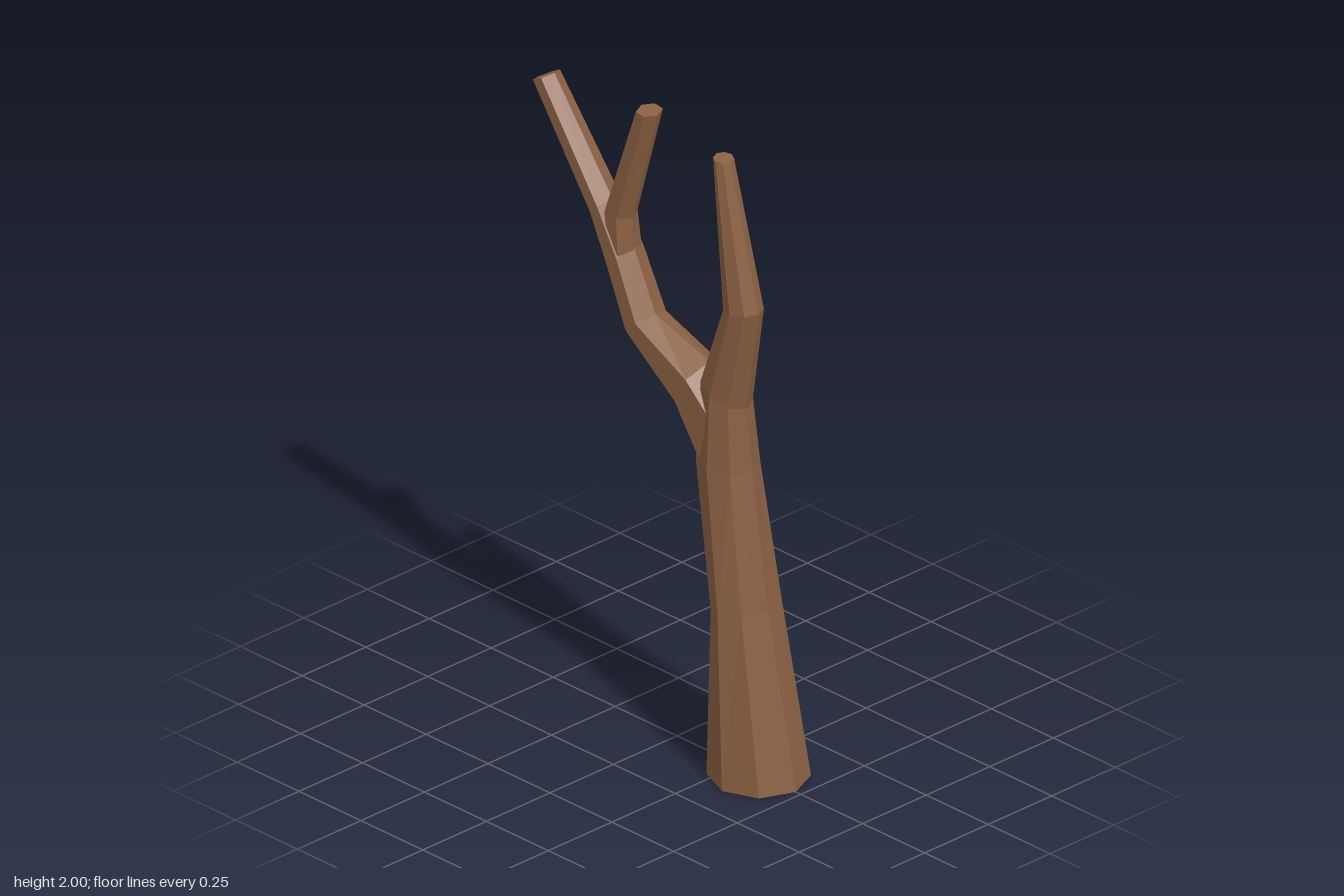
import * as THREE from 'three';

const bark = new THREE.MeshStandardMaterial({ color: 0x8b6043, flatShading: true });

// Capped loft. Each ring is [ax, ay, bx, by, zMin, zMax]: its two outer edges
// (left/lower, right/upper) in the xy plane, and its reach in z.
function loft(name, sides, rings) {
  const positions = [], index = [];
  const reach = sides % 4 === 0 ? 1 : Math.sin(Math.PI / 3); // lets six sides fill the z extent
  for (const [ax, ay, bx, by, z0, z1] of rings) {
    for (let i = 0; i < sides; i++) {
      const t = (i / sides) * Math.PI * 2;
      const c = Math.cos(t) / 2, s = Math.sin(t) / reach / 2;
      positions.push((ax + bx) / 2 + (bx - ax) * c, (ay + by) / 2 + (by - ay) * c, (z0 + z1) / 2 + (z1 - z0) * s);
    }
  }
  const top = (rings.length - 1) * sides;
  for (let r = 0; r < top; r += sides) {
    for (let i = 0; i < sides; i++) {
      const a = r + i, b = r + (i + 1) % sides;
      index.push(a, a + sides, b, b, a + sides, b + sides);
    }
  }
  for (let i = 1; i < sides - 1; i++) {
    index.push(0, i, i + 1, top, top + i + 1, top + i);
  }
  const geometry = new THREE.BufferGeometry();
  geometry.setAttribute('position', new THREE.Float32BufferAttribute(positions, 3));
  geometry.setIndex(index);
  const flat = geometry.toNonIndexed();
  flat.computeVertexNormals();
  const mesh = new THREE.Mesh(flat, bark);
  mesh.name = name;
  return mesh;
}

export function createModel() {
  const tree = new THREE.Group();
  tree.name = 'bareTree';

  // Trunk, running on into the upright left limb
  tree.add(loft('trunk', 8, [
    [0.18, 0.0, 0.48, 0.0, -0.145, 0.145],
    [0.21, 0.52, 0.385, 0.55, -0.095, 0.13],
    [0.14, 0.97, 0.335, 0.97, -0.055, 0.115],
    [0.165, 1.24, 0.32, 1.17, -0.03, 0.11],
    [0.265, 1.49, 0.385, 1.5, 0.0, 0.11],
    [0.23, 1.96, 0.285, 1.95, 0.035, 0.1],
  ]));

  // Right limb, kinking outwards and then up
  tree.add(loft('rightLimb', 6, [
    [0.17, 0.93, 0.26, 1.2, -0.035, 0.105],
    [0.08, 1.1, 0.17, 1.265, -0.035, 0.11],
    [-0.12, 1.27, -0.04, 1.34, -0.015, 0.105],
    [-0.195, 1.45, -0.12, 1.52, -0.005, 0.105],
    [-0.26, 1.6, -0.2, 1.65, 0.01, 0.105],
    [-0.485, 1.94, -0.42, 1.975, 0.035, 0.11],
  ]));

  // Twig forking off the right limb
  tree.add(loft('twig', 6, [
    [-0.19, 1.5, -0.12, 1.51, 0.005, 0.1],
    [-0.215, 1.63, -0.12, 1.62, 0.015, 0.1],
    [-0.075, 2.0, -0.01, 1.99, 0.03, 0.105],
  ]));

  return tree;
}
